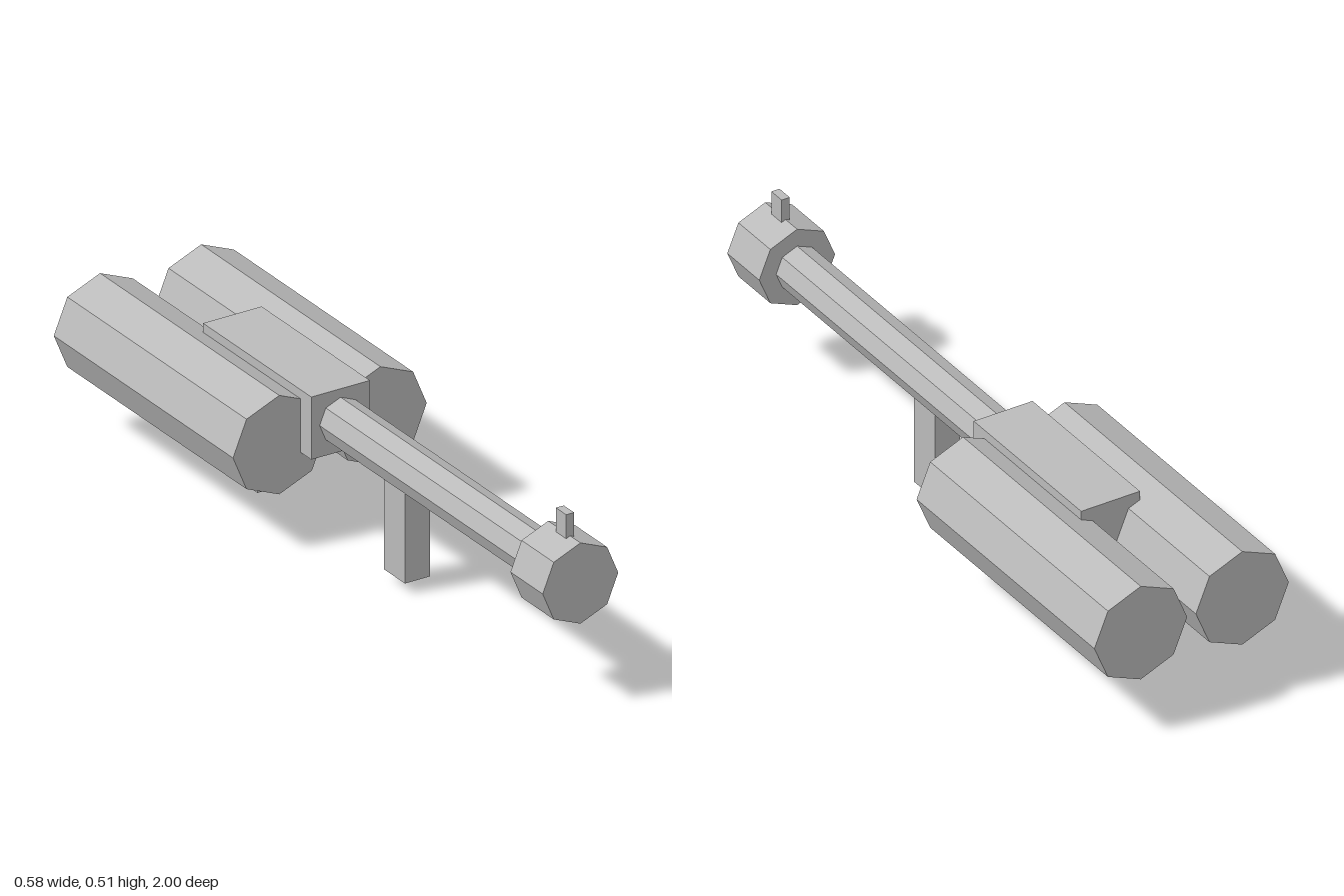
import * as THREE from 'three';

export function createModel() {
  const model = new THREE.Group();
  model.name = 'launcher';
  const grey = new THREE.MeshStandardMaterial({ color: 0xbbbbbb, flatShading: true });
  grey.name = 'plain grey';

  const add = (name, geometry, x, y, z) => {
    const mesh = new THREE.Mesh(geometry, grey);
    mesh.name = name;
    mesh.position.set(x, y, z);
    model.add(mesh);
  };
  // Eight-sided prism lying along z, with a corner at the top
  const prism = (name, r, x, y, z0, z1) =>
    add(name, new THREE.CylinderGeometry(r, r, z1 - z0, 8).rotateX(Math.PI / 2), x, y, (z0 + z1) / 2);
  // Box centred on x, given by its y and z limits
  const block = (name, w, y0, y1, z0, z1) =>
    add(name, new THREE.BoxGeometry(w, y1 - y0, z1 - z0), 0, (y0 + y1) / 2, (z0 + z1) / 2);

  // Twin tanks
  prism('leftTank', 0.139, 0.152, 0.28, -1, -0.166);
  prism('rightTank', 0.139, -0.152, 0.28, -1, -0.166);

  // Body, barrel and muzzle
  block('body', 0.176, 0.242, 0.418, -0.62, -0.116);
  prism('barrel', 0.063, 0, 0.331, -0.13, 0.86);
  prism('muzzle', 0.1135, 0, 0.331, 0.85, 1);

  // Front sight and grips
  block('sight', 0.024, 0.42, 0.507, 0.904, 0.952);
  block('frontGrip', 0.076, 0.028, 0.29, 0.145, 0.242);
  block('rearGrip', 0.076, 0, 0.26, -0.541, -0.444);

  return model;
}
